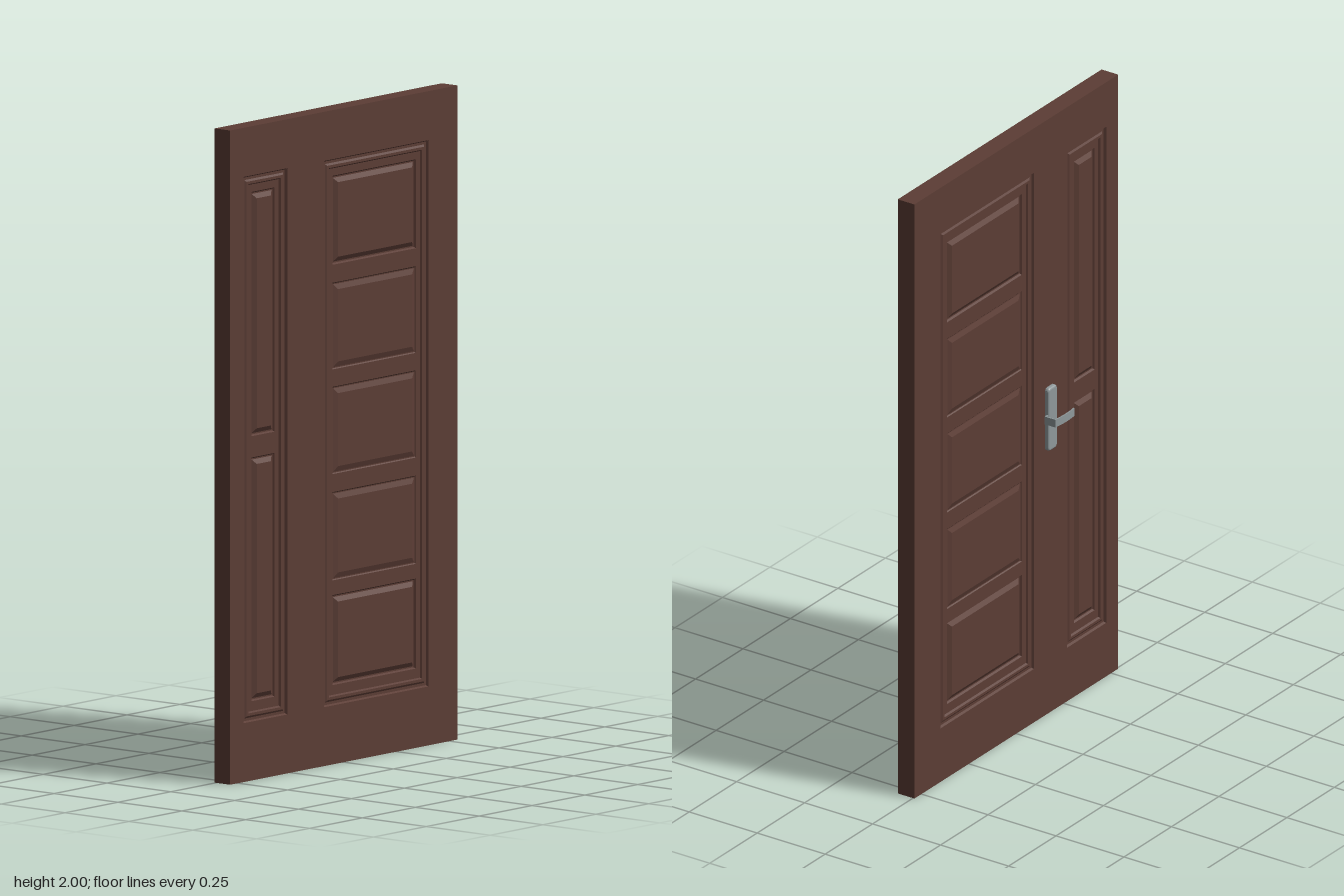
import * as THREE from 'three';

const FRONT = 0.056, BACK = -0.005;

const wood = new THREE.MeshStandardMaterial({ color: 0x5c3d35 });
wood.name = 'dark brown wood';
const metal = new THREE.MeshStandardMaterial({ color: 0x8f999b });
metal.name = 'brushed metal';

// Rectangles are [x0, y0, x1, y1]
const corners = ([x0, y0, x1, y1]) => [[x0, y0], [x1, y0], [x1, y1], [x0, y1]];
const inset = ([x0, y0, x1, y1], d) => [x0 + d, y0 + d, x1 - d, y1 - d];

function mesh(name, geometry, material) {
  const m = new THREE.Mesh(geometry, material);
  m.name = name;
  return m;
}

// Flat sheet with rectangular openings
function sheet(name, rect, holes, z) {
  const shape = new THREE.Shape(corners(rect).map(p => new THREE.Vector2(...p)));
  for (const h of holes) {
    shape.holes.push(new THREE.Path(corners(h).reverse().map(p => new THREE.Vector2(...p))));
  }
  return mesh(name, new THREE.ShapeGeometry(shape).translate(0, 0, z), wood);
}

// Mitred moulding through a list of [inset, height] steps
function moulding(name, rect, profile, z) {
  const pos = [];
  for (let s = 0; s < profile.length - 1; s++) {
    const [a, b] = [profile[s], profile[s + 1]].map(([d, h]) =>
      corners(inset(rect, d)).map(([x, y]) => [x, y, z + h]));
    for (let i = 0; i < 4; i++) {
      const j = (i + 1) % 4;
      pos.push(...a[i], ...a[j], ...b[j], ...a[i], ...b[j], ...b[i]);
    }
  }
  const g = new THREE.BufferGeometry();
  g.setAttribute('position', new THREE.Float32BufferAttribute(pos, 3));
  g.computeVertexNormals();
  return mesh(name, g, wood);
}

const DOOR = [-0.537, 0, 0.537, 2];
const FRAME = [[0, 0], [0.004, -0.007], [0.012, -0.007], [0.018, -0.003],
  [0.026, -0.003], [0.03, -0.009], [0.045, -0.009]];
const DEEP = [[0, 0], [0.004, -0.006], [0.008, -0.006], [0.022, 0.003]];
const SOFT = [[0, 0], [0.003, -0.003], [0.006, -0.003], [0.022, 0.003]];

const SECTIONS = [
  { name: 'narrow', rect: [-0.474, 0.18, -0.267, 1.85],
    panels: [[-0.426, 0.24, -0.316, 0.985, DEEP], [-0.426, 1.05, -0.316, 1.797, DEEP]] },
  { name: 'wide', rect: [-0.093, 0.18, 0.4, 1.85],
    panels: [[0.24, 0.515, DEEP], [0.56, 0.83, SOFT], [0.885, 1.152, SOFT],
      [1.205, 1.47, SOFT], [1.525, 1.797, DEEP]].map(([y0, y1, p]) => [-0.042, y0, 0.352, y1, p]) },
];

// One carved side of the door, facing +z at z = 0
function carvedFace(mirrored) {
  const side = new THREE.Group();
  const fit = ([x0, y0, x1, y1]) => mirrored ? [-x1, y0, -x0, y1] : [x0, y0, x1, y1];
  side.add(sheet('doorSurface', DOOR, SECTIONS.map(s => fit(s.rect)), 0));
  for (const { name, rect, panels } of SECTIONS) {
    const r = fit(rect), floor = -0.009;
    side.add(moulding(name + 'Moulding', r, FRAME, 0));
    side.add(sheet(name + 'PanelRails', inset(r, 0.045), panels.map(fit), floor));
    for (const panel of panels) {
      const p = fit(panel), profile = panel[4];
      const [d, h] = profile[profile.length - 1];
      side.add(moulding(name + 'PanelBevel', p, profile, floor));
      side.add(sheet(name + 'RaisedPanel', inset(p, d), [], floor + h));
    }
  }
  return side;
}

function createHandle() {
  const handle = new THREE.Group();
  handle.name = 'doorHandle';

  // Bevelled back plate
  const plateShape = new THREE.Shape();
  const w = 0.017, h = 0.099, c = 0.006;
  plateShape.moveTo(-w + c, -h).lineTo(w - c, -h).quadraticCurveTo(w, -h, w, -h + c)
    .lineTo(w, h - c).quadraticCurveTo(w, h, w - c, h)
    .lineTo(-w + c, h).quadraticCurveTo(-w, h, -w, h - c)
    .lineTo(-w, -h + c).quadraticCurveTo(-w, -h, -w + c, -h);
  const plate = new THREE.ExtrudeGeometry(plateShape, {
    depth: 0.006, bevelEnabled: true, bevelThickness: 0.007, bevelSize: 0.007,
    bevelSegments: 3, curveSegments: 4,
  });
  plate.translate(-0.175, 0.995, BACK - 0.0065);
  handle.add(mesh('handlePlate', plate, metal));

  // Bent strap lever, drawn from above as (x, -z) and extruded upward
  const lever = new THREE.Shape();
  lever.moveTo(-0.175, 0.012).lineTo(-0.139, 0.012).lineTo(-0.139, 0.052)
    .quadraticCurveTo(-0.19, 0.06, -0.238, 0.053).lineTo(-0.238, 0.049)
    .quadraticCurveTo(-0.19, 0.056, -0.143, 0.048).lineTo(-0.143, 0.016)
    .lineTo(-0.175, 0.016).closePath();
  const strap = new THREE.ExtrudeGeometry(lever, { depth: 0.026, bevelEnabled: false, curveSegments: 10 });
  strap.rotateX(-Math.PI / 2).translate(0, 0.987, 0);
  handle.add(mesh('handleLever', strap, metal));
  return handle;
}

export function createModel() {
  const door = new THREE.Group();
  door.name = 'door';

  // Outer edges of the slab
  door.add(moulding('doorEdges', DOOR, [[0, BACK - FRONT], [0, 0]], FRONT));

  const front = carvedFace(false);
  front.name = 'frontFace';
  front.position.z = FRONT;

  const back = carvedFace(true);
  back.name = 'backFace';
  back.rotation.y = Math.PI;
  back.position.z = BACK;

  door.add(front, back, createHandle());
  return door;
}
